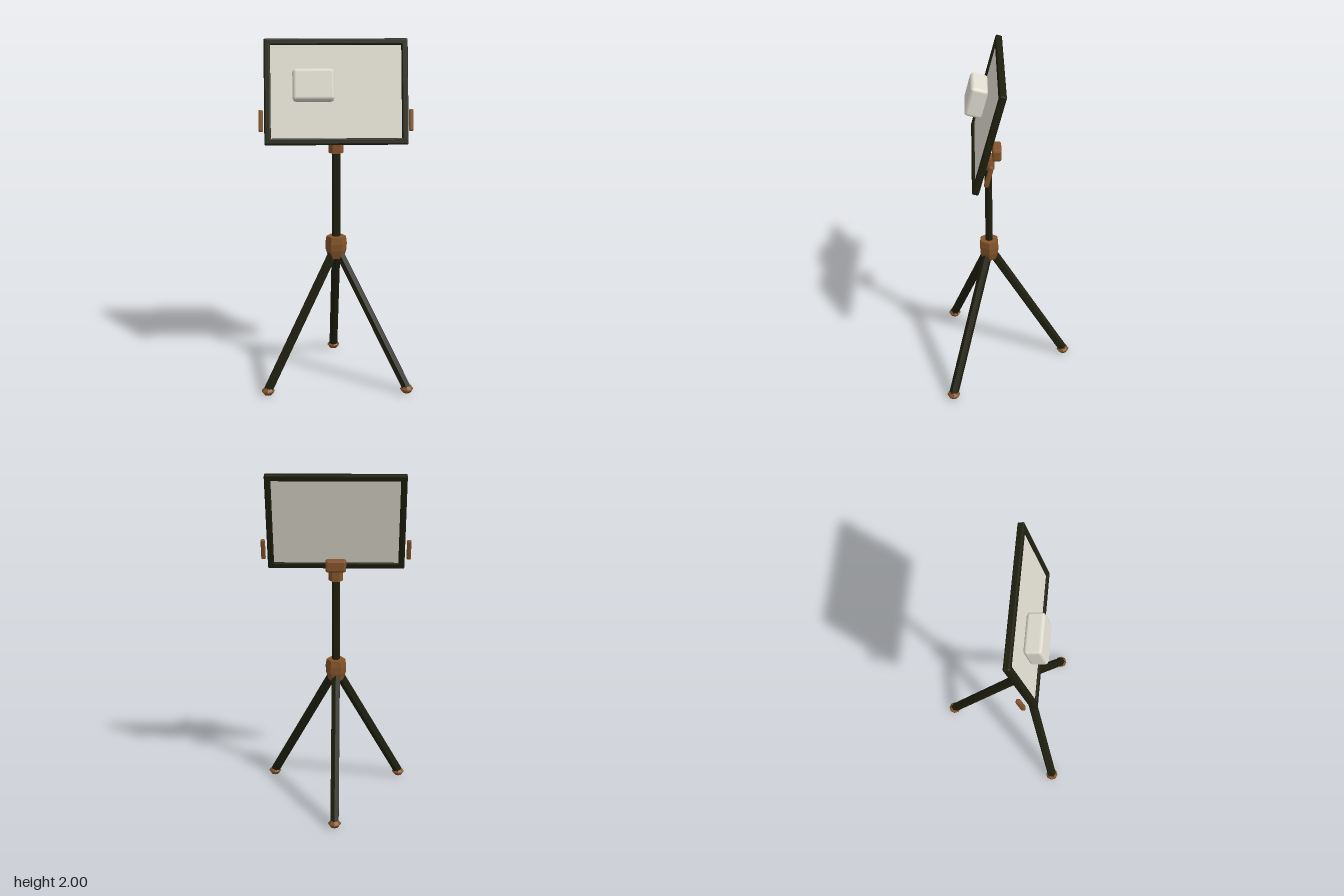
import * as THREE from 'three';
import { RoundedBoxGeometry } from 'three/addons/geometries/RoundedBoxGeometry.js';

const mat = (name, color, flatShading = false) => {
  const m = new THREE.MeshStandardMaterial({ color, flatShading });
  m.name = name;
  return m;
};

export function createModel() {
  const dark = mat('dark olive metal', 0x1e1f0e, true);
  const bronze = mat('bronze', 0x84542a, true);
  const cream = mat('cream', 0xe2dfd2);

  const model = new THREE.Group();
  model.name = 'panelOnTripod';
  const axisZ = 0.115; // tripod axis
  const tilt = -Math.PI / 12; // panel leans back

  const add = (name, geometry, material, x, y, z, parent = model) => {
    const mesh = new THREE.Mesh(geometry, material);
    mesh.name = name;
    mesh.position.set(x, y, z);
    parent.add(mesh);
    return mesh;
  };
  const block = (w, h, d, r) => new RoundedBoxGeometry(w, h, d, 1, r);
  // faceted turned part with corners on the x axis
  const turned = (points, sides) => new THREE.LatheGeometry(
    points.map(([r, y]) => new THREE.Vector2(r, y)), sides, Math.PI / 2);
  // hexagonal rod between two points
  const rod = (name, a, b, radius) => {
    const dir = b.clone().sub(a);
    const mesh = add(name, new THREE.CylinderGeometry(radius, radius, dir.length(), 6), dark, 0, 0, 0);
    mesh.position.copy(a).lerp(b, 0.5);
    mesh.quaternion.setFromUnitVectors(new THREE.Vector3(0, 1, 0), dir.normalize());
    return mesh;
  };

  // three splayed legs with feet
  const footShape = turned([[0, 0], [0.024, 0.004], [0.037, 0.022], [0.037, 0.028], [0.024, 0.045], [0, 0.049]], 8);
  ['leftLeg', 'backLeg', 'rightLeg'].forEach((name, i) => {
    const a = Math.PI / 6 - i * Math.PI * 2 / 3;
    const c = Math.cos(a), s = Math.sin(a);
    rod(name, new THREE.Vector3(c * 0.01, 0.8, axisZ + s * 0.01),
      new THREE.Vector3(c * 0.46, 0.03, axisZ + s * 0.46), 0.028);
    add(name + 'Foot', footShape, bronze, c * 0.46, 0, axisZ + s * 0.46);
  });

  // hub, column and head collar
  add('hub', turned([[0, 0.75], [0.045, 0.75], [0.06, 0.8], [0.062, 0.84], [0.056, 0.88], [0, 0.88]], 6),
    bronze, 0, 0, axisZ);
  add('column', turned([[0.024, 0.86], [0.024, 1.39]], 6), dark, 0, 0, axisZ);
  add('collar', turned([[0, 1.367], [0.042, 1.367], [0.042, 1.44], [0, 1.44]], 6), bronze, 0, 0, axisZ);
  add('headClamp', block(0.12, 0.072, 0.052, 0.012), bronze, 0, 1.467, 0.066);

  // tilted panel
  const panel = new THREE.Group();
  panel.name = 'panel';
  panel.position.set(0, 1.71, axisZ);
  panel.rotation.x = tilt;
  model.add(panel);
  const W = 0.8, H = 0.59, bar = 0.036, depth = 0.038;
  for (const s of [-1, 1]) {
    add(s > 0 ? 'frameTop' : 'frameBottom', block(W, bar, depth, 0.008), dark, 0, s * (H - bar) / 2, 0, panel);
    add(s > 0 ? 'frameLeft' : 'frameRight', block(bar, H, depth, 0.008), dark, s * (W - bar) / 2, 0, 0, panel);
  }
  add('screen', new THREE.BoxGeometry(W - bar, H - bar, 0.014), cream, 0, 0, 0, panel);
  add('frontBox', block(0.23, 0.175, 0.1, 0.02), cream, -0.127, 0.027, 0.07, panel);

  // side grips beside the frame
  for (const s of [-1, 1]) {
    const grip = add(s > 0 ? 'leftGrip' : 'rightGrip', block(0.025, 0.122, 0.025, 0.006), bronze, s * 0.421, 1.55, 0.118);
    grip.rotation.x = tilt;
  }
  return model;
}
